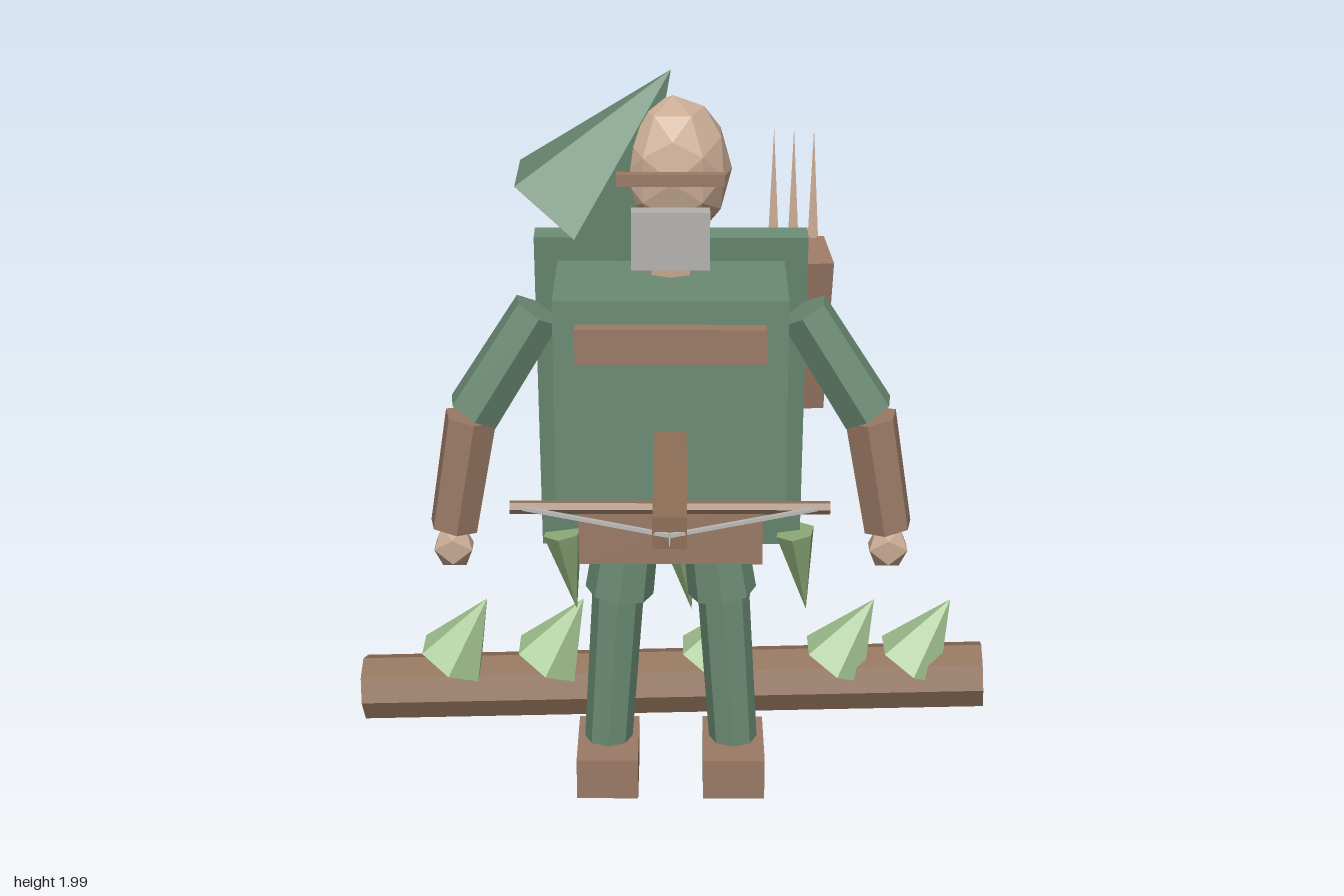
import * as THREE from 'three';

const mat = (color) => new THREE.MeshStandardMaterial({ color, flatShading: true });
const CLOTH = mat(0x6b8b74);
const LEATHER = mat(0x9b7a66);
const WOOD = mat(0x8f7058);
const SKIN = mat(0xc9ab94);
const METAL = mat(0xb4b2ae);
const LEAF = mat(0xa3c492);
const FRINGE = mat(0x8aa876);

const UP = new THREE.Vector3(0, 1, 0);

export function createModel() {
  const model = new THREE.Group();
  model.name = 'hoodedCrossbowman';

  const add = (name, geometry, material, position) => {
    const mesh = new THREE.Mesh(geometry, material);
    mesh.name = name;
    mesh.position.set(...position);
    model.add(mesh);
    return mesh;
  };

  const box = (name, size, position, material) =>
    add(name, new THREE.BoxGeometry(...size), material, position);

  // Tapered rod from point a (radius ra) to point b (radius rb)
  const rod = (name, a, b, ra, rb, sides, material) => {
    const start = new THREE.Vector3(...a);
    const dir = new THREE.Vector3(...b).sub(start);
    const mid = start.clone().addScaledVector(dir, 0.5);
    const mesh = add(name, new THREE.CylinderGeometry(rb, ra, dir.length(), sides), material, mid.toArray());
    mesh.quaternion.setFromUnitVectors(UP, dir.normalize());
    return mesh;
  };

  // Torso, belt and chest strap
  box('torso', [0.58, 0.56, 0.32], [0, 1.19, -0.14], CLOTH);
  box('belt', [0.47, 0.19, 0.26], [0, 0.845, -0.14], LEATHER);
  box('chestStrap', [0.47, 0.09, 0.05], [0, 1.365, 0.035], LEATHER);

  // Neck, head, brow band and mouth guard
  rod('neck', [0, 1.5, -0.14], [0, 1.62, -0.14], 0.067, 0.067, 8, SKIN);
  add('head', new THREE.IcosahedronGeometry(1, 1), SKIN, [0.005, 1.76, -0.14]).scale.set(0.145, 0.182, 0.14);
  box('browBand', [0.26, 0.03, 0.026], [0, 1.775, 0.013], LEATHER);
  box('mouthGuard', [0.19, 0.145, 0.045], [0, 1.63, 0.025], METAL);

  // Hood leaning over one side of the head
  rod('hood', [-0.23, 1.645, -0.16], [0, 2, -0.16], 0.204, 0, 6, CLOTH).scale.z = 1.18;

  // Arms and legs, mirrored
  for (const s of [-1, 1]) {
    const side = s > 0 ? 'left' : 'right';
    rod(side + 'UpperArm', [s * 0.335, 1.39, -0.145], [s * 0.503, 1.12, -0.135], 0.067, 0.073, 6, CLOTH);
    rod(side + 'Forearm', [s * 0.51, 1.11, -0.13], [s * 0.563, 0.805, -0.125], 0.07, 0.065, 6, LEATHER);
    add(side + 'Hand', new THREE.IcosahedronGeometry(0.058, 0), SKIN, [s * 0.565, 0.747, -0.125])
      .scale.set(1, 1.1, 0.85);
    rod(side + 'Thigh', [s * 0.105, 0.85, -0.14], [s * 0.135, 0.615, -0.14], 0.08, 0.09, 8, CLOTH);
    rod(side + 'Shin', [s * 0.138, 0.62, -0.14], [s * 0.168, 0.17, -0.14], 0.068, 0.064, 8, CLOTH);
    box(side + 'Boot', [0.163, 0.115, 0.245], [s * 0.168, 0.122, -0.123], LEATHER);
  }

  // Leaning cape with a fringe of pointed leaves
  box('cape', [0.7, 0.91, 0.065], [0, 1.085, -0.378], CLOTH).rotation.x = 0.115;
  for (let i = 0; i < 5; i++) {
    const x = -0.295 + i * 0.158;
    rod('capeLeaf', [x, 0.672, -0.387], [x + 0.035, 0.43, -0.403], 0.055, 0, 6, FRINGE);
  }

  // Quiver with three arrows
  box('quiver', [0.17, 0.44, 0.15], [0.32, 1.245, -0.456], LEATHER).rotation.set(0.19, 0.13, -0.03);
  for (let i = 0; i < 3; i++) {
    const x = 0.268 + i * 0.052;
    rod('arrow', [x, 1.42, -0.488], [x, 1.75, -0.555], 0.017, 0, 5, SKIN);
  }

  // Crossbow held out in front
  box('crossbowStock', [0.08, 0.08, 0.55], [0, 1.09, 0.275], WOOD);
  rod('crossbowLimb', [-0.377, 1.088, 0.397], [0.377, 1.088, 0.397], 0.016, 0.016, 6, WOOD);
  for (const s of [-1, 1]) {
    rod('crossbowString', [s * 0.37, 1.088, 0.395], [0, 1.088, 0.56], 0.007, 0.007, 5, METAL);
  }
  rod('crossbowBolt', [0, 1.088, 0.4], [0, 1.088, 0.635], 0.012, 0, 5, METAL);

  // Fallen log with leaf tufts along the top
  rod('log', [-0.876, 0.1, -0.565], [0.876, 0.195, -0.47], 0.094, 0.094, 8, WOOD);
  for (const x of [-0.62, -0.35, 0.11, 0.462, 0.675]) {
    rod('logLeaf', [x, 0.232, -0.487], [x + 0.105, 0.42, -0.487], 0.102, 0, 6, LEAF).scale.z = 1.14;
  }

  return model;
}
